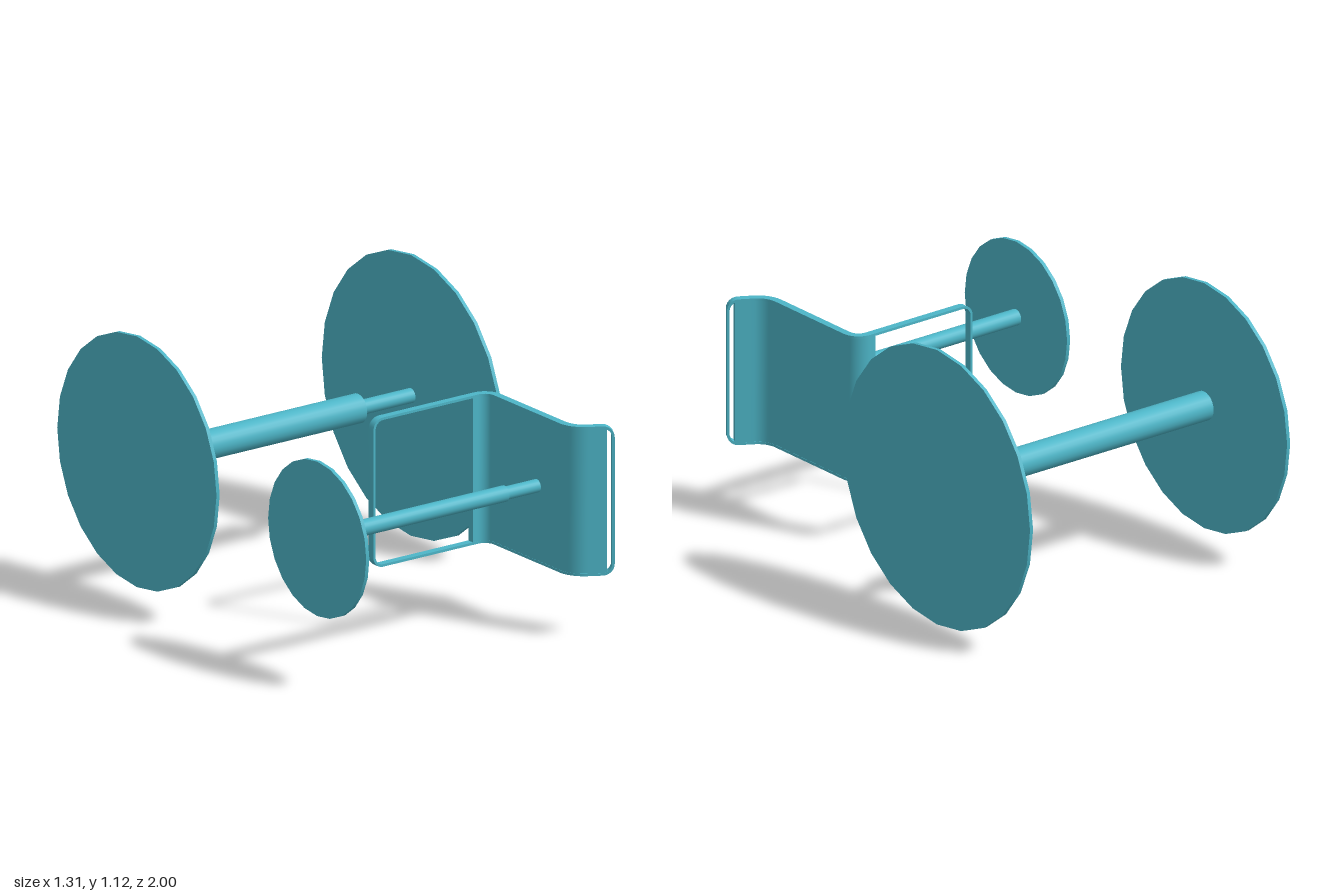
import * as THREE from 'three';
import { toCreasedNormals } from 'three/addons/utils/BufferGeometryUtils.js';

const AXIS_Y = 0.562, REAR_Z = -0.44, FRONT_Z = 0.692;

// Bracket outline seen from above: straight runs and bends [length, total turn]
const RUNS = [
  [0.495, 0],
  [0.0895, Math.PI / 2],
  [0.412, 0],
  [0.1047, -Math.PI / 3],
  [0.104, 0],
];
const LENGTH = RUNS.reduce((sum, r) => sum + r[0], 0);
const THICK = 0.03, BOTTOM = 0.255, TOP = 0.85, RIM = 0.01;

// Maps flat sheet coordinates (s along, y up, t through) onto the bent path
function bend(s, y, t) {
  let x = -0.155, z = 0.366, a = 0, left = s;
  for (const [len, turn] of RUNS) {
    const d = Math.min(left, len);
    const da = turn * d / len;
    if (turn) {
      const r = len / turn;
      x += r * (Math.sin(a + da) - Math.sin(a));
      z -= r * (Math.cos(a + da) - Math.cos(a));
    } else {
      x += d * Math.cos(a);
      z += d * Math.sin(a);
    }
    a += da;
    left -= d;
    if (left <= 0) break;
  }
  return [x - Math.sin(a) * t, y, z + Math.cos(a) * t];
}

// Rounded rectangle loop on the flat sheet, counter-clockwise, inset from the edge
function sheetLoop(inset) {
  const R = 0.045, r = R - inset, pts = [];
  const corners = [
    [LENGTH - R, BOTTOM + R, -Math.PI / 2], [LENGTH - R, TOP - R, 0],
    [R, TOP - R, Math.PI / 2], [R, BOTTOM + R, Math.PI],
  ];
  corners.forEach(([cs, cy, start], k) => {
    for (let i = 0; i <= 6; i++) {
      const a = start + (i / 6) * Math.PI / 2;
      pts.push([cs + r * Math.cos(a), cy + r * Math.sin(a)]);
    }
    // subdivide the long edges so that they follow the bends
    if (k % 2 === 1) {
      const [s0, y0] = pts[pts.length - 1];
      const s1 = k === 1 ? R : LENGTH - R;
      if (k === 1) for (let i = 1; i < 100; i++) pts.push([s0 + (s1 - s0) * i / 100, y0]);
    }
  });
  const y = BOTTOM + inset;
  for (let i = 1; i < 100; i++) pts.push([R + (LENGTH - 2 * R) * i / 100, y]);
  return pts;
}

// Thin wire-like rim around the whole sheet
function rimGeometry() {
  const outer = sheetLoop(0), inner = sheetLoop(RIM), h = THICK / 2;
  const loops = [[outer, h], [inner, h], [inner, -h], [outer, -h]]
    .map(([loop, t]) => loop.map(([s, y]) => bend(s, y, t)));
  const pos = [], n = outer.length;
  for (let k = 0; k < 4; k++) {
    const A = loops[k], B = loops[(k + 1) % 4];
    for (let i = 0; i < n; i++) {
      const j = (i + 1) % n;
      pos.push(...A[i], ...A[j], ...B[j], ...A[i], ...B[j], ...B[i]);
    }
  }
  const g = new THREE.BufferGeometry();
  g.setAttribute('position', new THREE.Float32BufferAttribute(pos, 3));
  return toCreasedNormals(g, 0.6);
}

// Solid panel filling the rim from the rear bend to just short of the lip
function panelGeometry() {
  const s0 = 0.47, s1 = LENGTH - 0.03;
  const g = new THREE.BoxGeometry(s1 - s0, TOP - BOTTOM - 2 * RIM, THICK - 0.002, 70, 1, 1);
  g.translate((s0 + s1) / 2, (TOP + BOTTOM) / 2, 0);
  const p = g.attributes.position;
  for (let i = 0; i < p.count; i++) p.setXYZ(i, ...bend(p.getX(i), p.getY(i), p.getZ(i)));
  g.computeVertexNormals();
  return g;
}

export function createModel() {
  const group = new THREE.Group();
  const teal = new THREE.MeshStandardMaterial({ color: 0x4db6c8 });
  teal.name = 'teal';

  const add = (name, geometry) => {
    const mesh = new THREE.Mesh(geometry, teal);
    mesh.name = name;
    group.add(mesh);
    return mesh;
  };
  // Cylinder lying along x between two positions
  const rod = (name, x0, x1, radius, z) => {
    const g = new THREE.CylinderGeometry(radius, radius, x1 - x0, 24);
    g.rotateZ(Math.PI / 2);
    add(name, g).position.set((x0 + x1) / 2, AXIS_Y, z);
  };

  // Wheels
  rod('rearLeftWheel', 0.64, 0.655, 0.56, REAR_Z);
  rod('rearRightWheel', -0.655, -0.64, 0.5, REAR_Z);
  rod('frontWheel', -0.655, -0.64, 0.308, FRONT_Z);

  // Stepped axles
  rod('rearAxle', -0.64, 0.39, 0.058, REAR_Z);
  rod('rearAxleEnd', 0.39, 0.64, 0.029, REAR_Z);
  rod('frontAxle', -0.64, 0.23, 0.032, FRONT_Z);
  rod('frontAxleEnd', 0.23, 0.385, 0.026, FRONT_Z);

  // Bent bracket
  add('bracketRim', rimGeometry());
  add('bracketPanel', panelGeometry());

  return group;
}
